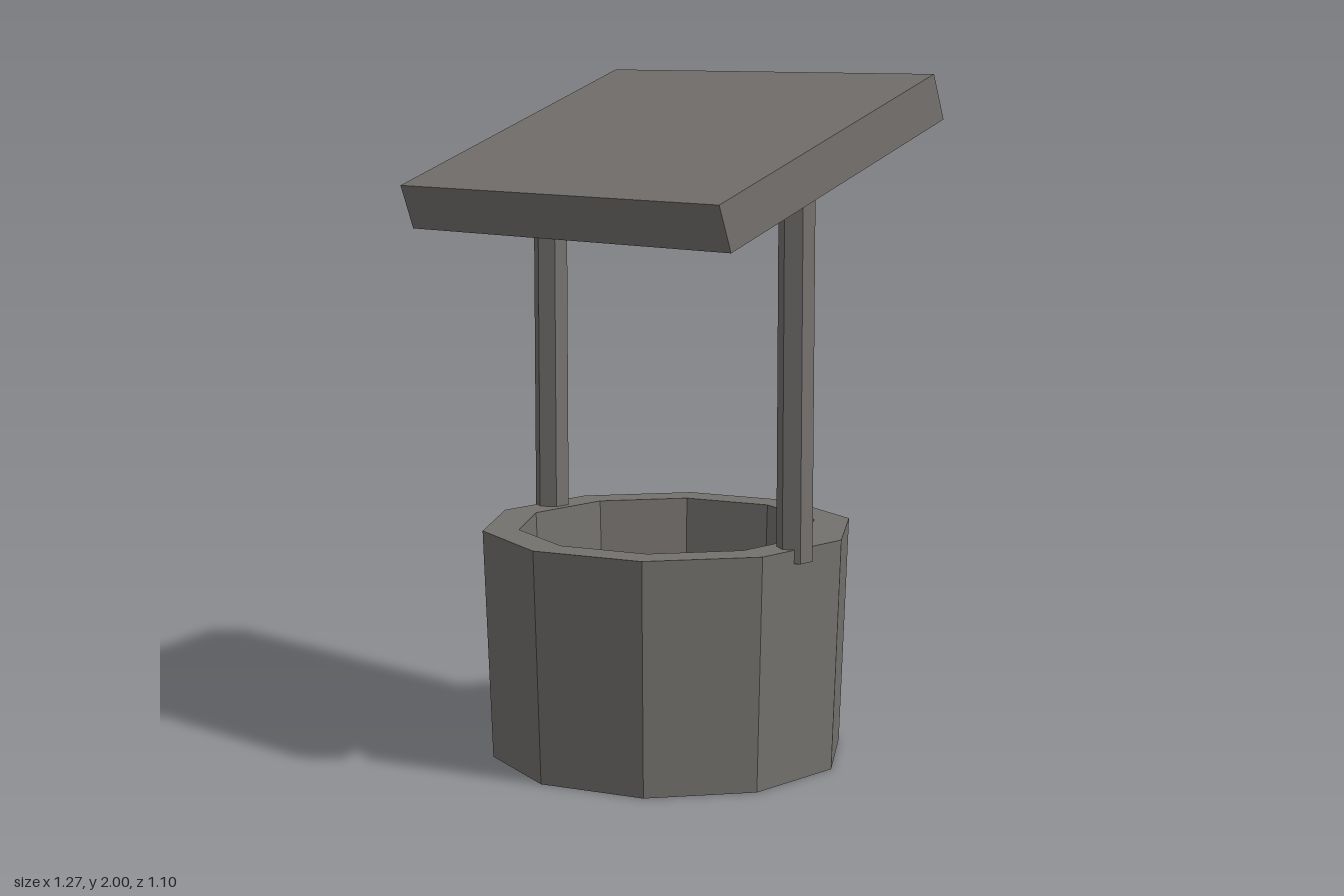
import * as THREE from 'three';

const stone = new THREE.MeshStandardMaterial({ color: 0x74716d });
stone.name = 'warm grey';

// Faceted mesh: unshared vertices give one normal per face
function part(name, geometry) {
  const flat = geometry.index ? geometry.toNonIndexed() : geometry;
  flat.computeVertexNormals();
  const mesh = new THREE.Mesh(flat, stone);
  mesh.name = name;
  return mesh;
}

export function createModel() {
  const well = new THREE.Group();
  well.name = 'well';

  // Ten-sided tapered basin: underside, outer wall, rim, inner wall, floor
  const profile = [
    [0, 0], [0.525, 0], [0.55, 0.68], [0.443, 0.68], [0.42, 0.08], [0, 0.08],
  ].map(([r, y]) => new THREE.Vector2(r, y));
  well.add(part('basin', new THREE.LatheGeometry(profile, 10)));

  // Six-sided posts set into the rim and running up into the roof
  const bottom = 0.64, top = 1.74;
  for (const [name, side] of [['leftPost', 1], ['rightPost', -1]]) {
    const post = part(name, new THREE.CylinderGeometry(0.052, 0.052, top - bottom, 6));
    post.position.set(side * 0.4925, (bottom + top) / 2, 0);
    well.add(post);
  }

  // Slab roof sloping down to the front
  const roof = part('roof', new THREE.BoxGeometry(1.267, 0.137, 0.957));
  roof.position.y = 1.773;
  roof.rotation.x = THREE.MathUtils.degToRad(20);
  well.add(roof);

  return well;
}
